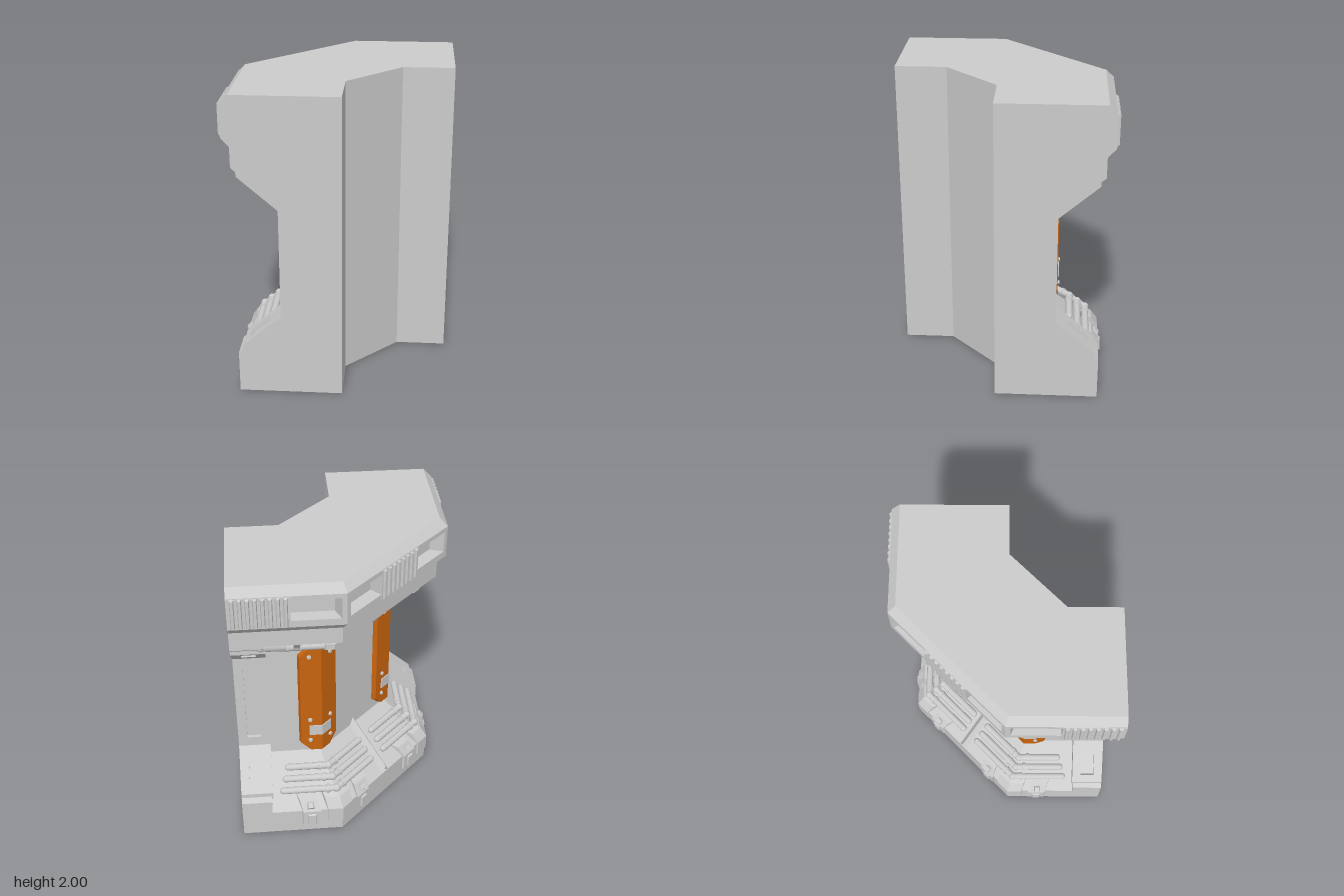
import * as THREE from 'three';

// Stations map an outward offset a to [x, z] on the bent outer face.
const R2 = Math.SQRT2;
const back = u => a => [u, -a];
const diag = w => a => {
  const c = (R2 * a - 0.293) / 2;
  return [-c + w / R2, -c - w / R2];
};
// Distance e from the bend: positive on the straight run, negative on the diagonal.
const bend = e => a => e >= 0 ? [0.293 - 0.414 * a + e, -a] : diag(0.207 + 0.414 * a + e)(a);

function fromTriangles(tris) {
  const g = new THREE.BufferGeometry();
  g.setAttribute('position', new THREE.Float32BufferAttribute(tris.flat(2), 3));
  g.computeVertexNormals();
  return g;
}

// Sweep a closed [a, y] profile (or one profile per station) along stations.
function sweep(stations, profile) {
  const varied = Array.isArray(profile[0][0]);
  const rings = stations.map((s, i) => (varied ? profile[i] : profile).map(([a, y]) => {
    const [x, z] = s(a);
    return [x, y, z];
  }));
  const first = varied ? profile[0] : profile;
  const n = first.length, tris = [];
  for (let k = 0; k + 1 < rings.length; k++) {
    const S = rings[k], E = rings[k + 1];
    for (let i = 0; i < n; i++) {
      const j = (i + 1) % n;
      tris.push([S[j], S[i], E[i]], [S[j], E[i], E[j]]);
    }
  }
  const cap = THREE.ShapeUtils.triangulateShape(first.map(p => new THREE.Vector2(...p)), []);
  const last = rings[rings.length - 1];
  for (const [a, b, c] of cap) tris.push([rings[0][a], rings[0][b], rings[0][c]], [last[a], last[c], last[b]]);
  return fromTriangles(tris);
}

// Mirror a geometry in the plane x = z.
function mirrored(geo) {
  const g = geo.index ? geo.toNonIndexed() : geo.clone();
  for (const name of ['position', 'normal']) {
    const at = g.attributes[name], old = at.array.slice();
    for (let i = 0; i < at.count; i++) {
      const j = 3 * (i % 3 === 0 ? i : i % 3 === 1 ? i + 1 : i - 1);
      at.setXYZ(i, old[j + 2], old[j + 1], old[j]);
    }
  }
  return g;
}

// Place a geometry (outward +z, up +y) on a station.
function place(geo, station, onDiagonal, y, a, tilt = 0) {
  const [x, z] = station(a);
  return geo.rotateX(-tilt).rotateY(onDiagonal ? -0.75 * Math.PI : Math.PI).translate(x, y, z);
}

// Box whose outer face is inset.
function taperedBox(w, h, d, inset) {
  const g = new THREE.BoxGeometry(w, h, d).toNonIndexed(), p = g.attributes.position;
  for (let i = 0; i < p.count; i++) {
    if (p.getZ(i) > 0) p.setXY(i, p.getX(i) - Math.sign(p.getX(i)) * inset, p.getY(i) - Math.sign(p.getY(i)) * inset);
  }
  g.computeVertexNormals();
  return g;
}

// Main wall: rows of [y, offset at the ends, offset between the ends].
function wallGeometry() {
  const rows = [
    [0, 0.635, 0.635], [0.18, 0.635, 0.635], [0.28, 0.635, 0.528], [0.46, 0.42, 0.335], [0.53, 0.335, 0.335],
    [1.29, 0.335, 0.335], [1.37, 0.427, 0.335], [1.55, 0.635, 0.54], [1.57, 0.635, 0.635], [1.76, 0.635, 0.635],
    [1.77, 0.6, 0.6], [1.93, 0.6, 0.6], [1.94, 0.635, 0.635], [2, 0.635, 0.635]];
  const inner = [[0.03, 0.7], [0.03, 0.37], [0.37, 0.03], [0.7, 0.03]];
  const loops = rows.map(([y, e, m]) => {
    const half = [back(0.7)(e), back(0.5)(e), back(0.5)(m), bend(0)(m)];
    const other = half.map(([x, z]) => [z, x]).reverse();
    return [...half, ...other, ...inner].map(([x, z]) => [x, y, z]);
  });
  const tris = [];
  for (let r = 0; r + 1 < loops.length; r++) {
    const A = loops[r], B = loops[r + 1];
    for (let i = 0; i < A.length; i++) {
      const j = (i + 1) % A.length;
      tris.push([A[i], A[j], B[j]], [A[i], B[j], B[i]]);
    }
  }
  const keep = [0, 3, 4, 7, 8, 9, 10, 11];
  const bottom = keep.map(i => loops[0][i]), top = keep.map(i => loops[loops.length - 1][i]);
  for (const [a, b, c] of THREE.ShapeUtils.triangulateShape(top.map(p => new THREE.Vector2(p[0], -p[2])), [])) {
    tris.push([top[a], top[b], top[c]], [bottom[a], bottom[c], bottom[b]]);
  }
  return fromTriangles(tris);
}

export function createModel() {
  const group = new THREE.Group();
  const grey = new THREE.MeshStandardMaterial({ color: 0xcccccc });
  const orange = new THREE.MeshStandardMaterial({ color: 0xc8640f });
  const single = (name, geo, mat = grey) => {
    const mesh = new THREE.Mesh(geo, mat);
    mesh.name = name;
    group.add(mesh);
  };
  const pair = (name, geo, mat = grey) => {
    single(name, geo, mat);
    single(name + 'Mirrored', mirrored(geo), mat);
  };
  const up = new THREE.Vector3(0, 1, 0);
  const pipe = (name, points, r) => {
    const v = points.map(([s, a, y]) => { const [x, z] = s(a); return new THREE.Vector3(x, y, z); });
    v.forEach((p, i) => {
      pair(name + 'Joint', new THREE.SphereGeometry(r * (i && i < v.length - 1 ? 1.2 : 1), 14, 10).translate(p.x, p.y, p.z));
      if (!i) return;
      const d = p.clone().sub(v[i - 1]), g = new THREE.CylinderGeometry(r, r, d.length(), 14, 1, true);
      g.applyQuaternion(new THREE.Quaternion().setFromUnitVectors(up, d.normalize()));
      const m = p.clone().add(v[i - 1]).multiplyScalar(0.5);
      pair(name, g.translate(m.x, m.y, m.z));
    });
  };

  single('wall', wallGeometry());

  // Top slab: bevelled bands, posts and vent blocks around recessed windows
  const run = [back(0.7), bend(0), diag(0)];
  pair('slabLowerBand', sweep(run, [[0.59, 1.68], [0.635, 1.68], [0.685, 1.735], [0.685, 1.78], [0.59, 1.78]]));
  pair('slabUpperBand', sweep(run, [[0.59, 1.92], [0.685, 1.92], [0.685, 1.95], [0.635, 2], [0.59, 1.99]]));
  const post = [[0.59, 1.77], [0.685, 1.77], [0.685, 1.93], [0.59, 1.93]];
  pair('cornerPost', sweep([bend(0.03), bend(0), bend(-0.03)], post));
  const ventBlock = [[0.59, 1.745], [0.689, 1.745], [0.689, 1.945], [0.59, 1.945]];
  pair('ventBlock', sweep([back(0.7), back(0.335)], ventBlock));
  single('ventBlock', sweep([diag(0.175), diag(-0.175)], ventBlock));
  for (let i = 0; i < 8; i++) {
    const rib = () => taperedBox(0.032, 0.205, 0.022, 0.008);
    pair('ventRib', place(rib(), back(0.362 + i * 0.0435), false, 1.845, 0.691));
    single('ventRib', place(rib(), diag((i - 3.5) * 0.0435), true, 1.845, 0.691));
  }

  // End frames: two raised strips joined by cross bars, leaving slots
  const flip = prof => prof.map(([a, y]) => [a, 1.83 - y]).reverse();
  const strip = [[0.605, 0.28], [0.605, 0.335], [0.358, 0.55], [0.358, 1.28], [0.605, 1.495], [0.605, 1.55],
    [0.54, 1.53], [0.3, 1.33], [0.3, 0.5], [0.54, 0.3]];
  pair('frameInnerStrip', sweep([back(0.55), back(0.49)], strip));
  pair('frameOuterStrip', sweep([back(0.7), back(0.64)], strip));
  const kink = [[0.33, 0.48], [0.44, 0.478], [0.358, 0.55], [0.358, 0.62], [0.32, 0.62]];
  const foot = [[0.53, 0.33], [0.605, 0.28], [0.605, 0.335], [0.565, 0.37]];
  for (const p of [kink, flip(kink), foot, flip(foot)]) pair('frameCrossBar', sweep([back(0.645), back(0.545)], p));

  // Folded orange panels with bolts and a grey clip
  const sheet = (y0, y1, a = 0.365) => [[0.32, y0], [a, y0], [a, y1], [0.32, y1]];
  pair('cornerPanel', sweep([0.14, 0.075, 0, -0.075, -0.14].map(bend),
    [sheet(0.55, 1.27), sheet(0.485, 1.335), sheet(0.485, 1.335), sheet(0.485, 1.335), sheet(0.55, 1.27)]), orange);
  pair('panelClip', sweep([bend(0.085), bend(0), bend(-0.085)], sheet(0.62, 0.7, 0.371)));
  for (const e of [0.08, -0.08]) for (const y of [0.575, 0.75, 1.27]) {
    pair('panelBolt', place(new THREE.CylinderGeometry(0.012, 0.016, 0.014, 10).rotateX(Math.PI / 2), bend(e), e < 0, y, 0.369));
  }

  // Pipe below the slab with its hangers
  pipe('upperPipe', [[back(0.52), 0.59, 1.535], [back(0.36), 0.5, 1.465], [bend(0), 0.5, 1.465], [diag(0), 0.5, 1.465]], 0.03);
  pair('elbowSleeve', sweep([bend(0.055), bend(0), bend(-0.055)], [[0.42, 1.45], [0.49, 1.425], [0.54, 1.45], [0.54, 1.49], [0.42, 1.5]]));
  const tip = [[0.36, 1.37], [0.5, 1.4], [0.6, 1.56], [0.36, 1.56]];
  const shoulder = [[0.36, 1.49], [0.52, 1.5], [0.6, 1.56], [0.36, 1.56]];
  pair('centreBracket', sweep([diag(0.13), diag(0)], [shoulder, tip]));
  const hanger = [[0.4, 1.44], [0.5, 1.425], [0.6, 1.56], [0.4, 1.56]];
  pair('pipeHanger', sweep([back(0.32), back(0.28)], hanger));
  pair('pipeHanger', sweep([bend(-0.14), bend(-0.18)], hanger));

  // Three stacked pipes bent around each lower corner
  for (let i = 0; i < 3; i++) {
    const a = 0.555 - i * 0.055, y = 0.3 + i * 0.055;
    pipe('lowerPipe', [[back(0.42 - i * 0.02), a, y], [bend(0), a, y], [diag(0.07), a, y]], 0.023);
    for (const e of [0.06, -0.06]) {
      const collar = new THREE.CylinderGeometry(0.029, 0.029, 0.02, 14).rotateZ(Math.PI / 2);
      pair('pipeCollar', place(collar, bend(e), e < 0, y, a));
    }
  }

  // Ridge between the two sets of pipes
  pair('centreRidge', sweep([diag(0.03), diag(0)], [
    [[0.3, 0.4], [0.6, 0.12], [0.635, 0.18], [0.335, 0.46]],
    [[0.3, 0.4], [0.6, 0.12], [0.635, 0.23], [0.335, 0.51]]]));

  // Base: corner block and stepped clamps
  pair('cornerBlock', sweep([bend(0.1), bend(0), bend(-0.1)],
    [[0.52, 0.1], [0.645, 0.08], [0.645, 0.19], [0.6, 0.26], [0.53, 0.3]]));
  const clamp = [[0.54, 0.06], [0.65, 0.06], [0.65, 0.18], [0.6, 0.25], [0.54, 0.27]];
  for (const e of [0.21, -0.21]) {
    pair('baseClamp', sweep([bend(e + 0.06), bend(e - 0.06)], clamp));
    pair('clampPlate', place(taperedBox(0.07, 0.1, 0.03, 0.012), bend(e), e < 0, 0.115, 0.647));
    pair('clampLug', place(taperedBox(0.05, 0.05, 0.03, 0.008), bend(e), e < 0, 0.218, 0.628, 0.8));
  }
  return group;
}
